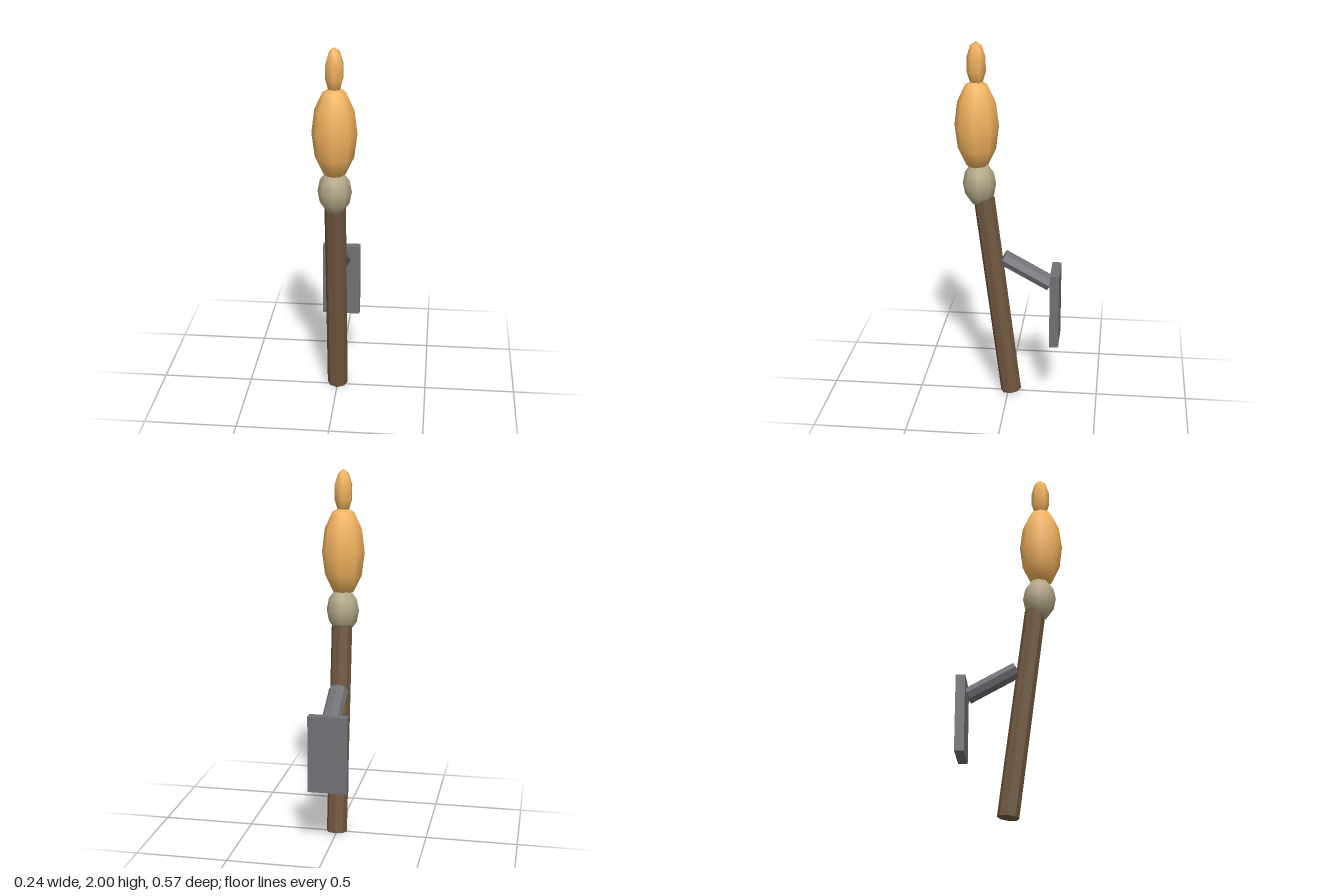
import * as THREE from 'three';

const material = (color, flatShading) => new THREE.MeshStandardMaterial({ color, flatShading });

// Eight-sided rod between two [y, z] points in the x = 0 plane
function rod(name, from, to, rx, rz, mat) {
  const dy = to[0] - from[0], dz = to[1] - from[1];
  const geometry = new THREE.CylinderGeometry(1, 1, Math.hypot(dy, dz), 8);
  geometry.scale(rx, 1, rz);
  const mesh = new THREE.Mesh(geometry, mat);
  mesh.name = name;
  mesh.position.set(0, (from[0] + to[0]) / 2, (from[1] + to[1]) / 2);
  mesh.rotation.x = Math.atan2(dz, dy);
  return mesh;
}

// Low-poly upright ellipsoid with smooth shading
function ellipsoid(name, segments, rows, radius, halfHeight, y, z, mat) {
  const geometry = new THREE.SphereGeometry(1, segments, rows);
  geometry.rotateY(Math.PI / 2);
  geometry.scale(radius, halfHeight, radius);
  const mesh = new THREE.Mesh(geometry, mat);
  mesh.name = name;
  mesh.position.set(0, y, z);
  return mesh;
}

export function createModel() {
  const group = new THREE.Group();
  group.name = 'wallTorch';

  const wood = material(0x705840, true);
  const metal = material(0x717176, true);
  const cloth = material(0xb5a888, false);
  const fire = material(0xf2b35f, false);

  // Leaning wooden handle
  group.add(rod('handle', [0.007, -0.016], [1.157, 0.131], 0.057, 0.057, wood));

  // Wall bracket: sloping arm and back plate
  group.add(rod('bracketArm', [0.672, -0.231], [0.814, 0.027], 0.053, 0.045, metal));
  const plate = new THREE.Mesh(new THREE.BoxGeometry(0.212, 0.42, 0.05), metal);
  plate.name = 'wallPlate';
  plate.position.set(0, 0.543, -0.26);
  group.add(plate);

  // Wrapped head, flame and flame tip
  group.add(ellipsoid('torchHead', 8, 6, 0.09, 0.125, 1.235, 0.155, cloth));
  group.add(ellipsoid('flame', 8, 6, 0.118, 0.25, 1.555, 0.167, fire));
  group.add(ellipsoid('flameTip', 6, 5, 0.0526, 0.123, 1.877, 0.167, fire));

  return group;
}
